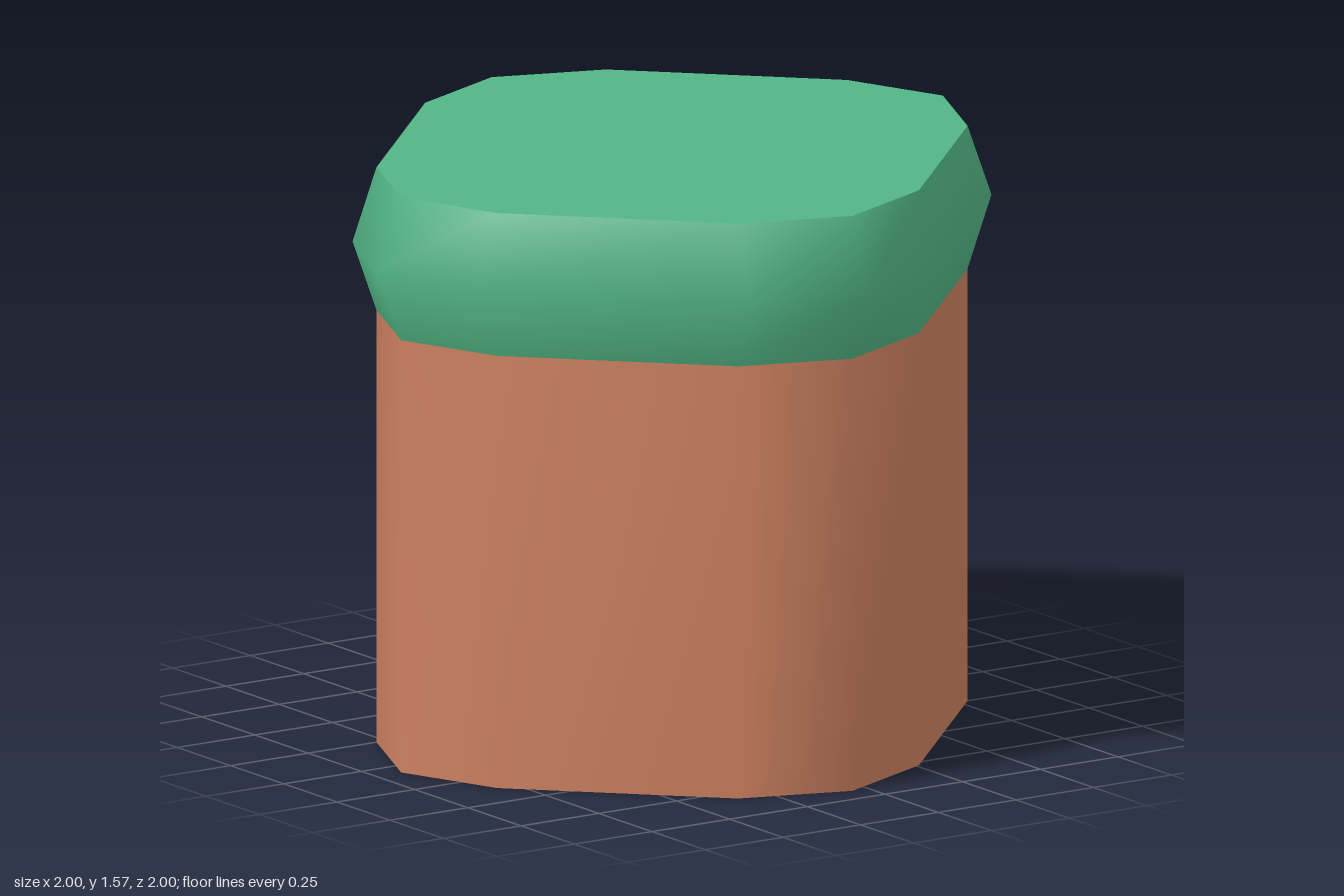
import * as THREE from 'three';

// Half of each twelve-sided outline as [x, z]; the other half is its point reflection.
const mirrored = (half) => [...half, ...half.map(([x, z]) => [-x, -z])];
const inner = mirrored([[0.05, -0.92], [0.35, -0.82], [0.81, -0.36], [0.92, -0.07], [0.78, 0.25], [0.26, 0.78]]);
const outer = mirrored([[0.06, -1], [0.36, -0.89], [0.885, -0.375], [1, -0.07], [0.85, 0.26], [0.26, 0.845]]);

// Smooth wall through a stack of outlines, given bottom to top.
function wall(rings) {
  const n = inner.length, pos = [], idx = [];
  rings.forEach(([outline, y]) => outline.forEach(([x, z]) => pos.push(x, y, z)));
  for (let r = 0; r < rings.length - 1; r++) {
    for (let i = 0; i < n; i++) {
      const a = r * n + i, b = r * n + (i + 1) % n;
      idx.push(a, a + n, b, b, a + n, b + n);
    }
  }
  const g = new THREE.BufferGeometry();
  g.setAttribute('position', new THREE.Float32BufferAttribute(pos, 3));
  g.setIndex(idx);
  g.computeVertexNormals();
  return g;
}

// Flat end face, facing up or down.
function endFace(y, up) {
  const shape = new THREE.Shape(inner.map(([x, z]) => new THREE.Vector2(x, up ? -z : z)));
  return new THREE.ShapeGeometry(shape).rotateX(up ? -Math.PI / 2 : Math.PI / 2).translate(0, y, 0);
}

export function createModel() {
  const model = new THREE.Group();
  model.name = 'cappedBlock';
  const earth = new THREE.MeshStandardMaterial({ color: 0xcc8060 });
  earth.name = 'earth brown';
  const grass = new THREE.MeshStandardMaterial({ color: 0x52b584 });
  grass.name = 'grass green';
  const add = (name, geometry, material) => {
    const mesh = new THREE.Mesh(geometry, material);
    mesh.name = name;
    model.add(mesh);
  };

  // Straight earth body
  add('bodyWall', wall([[inner, 0], [inner, 1.18]]), earth);
  add('bodyBottom', endFace(0, false), earth);

  // Bulging grass cap
  add('capRim', wall([[inner, 1.18], [outer, 1.375], [inner, 1.57]]), grass);
  add('capTop', endFace(1.57, true), grass);
  return model;
}
